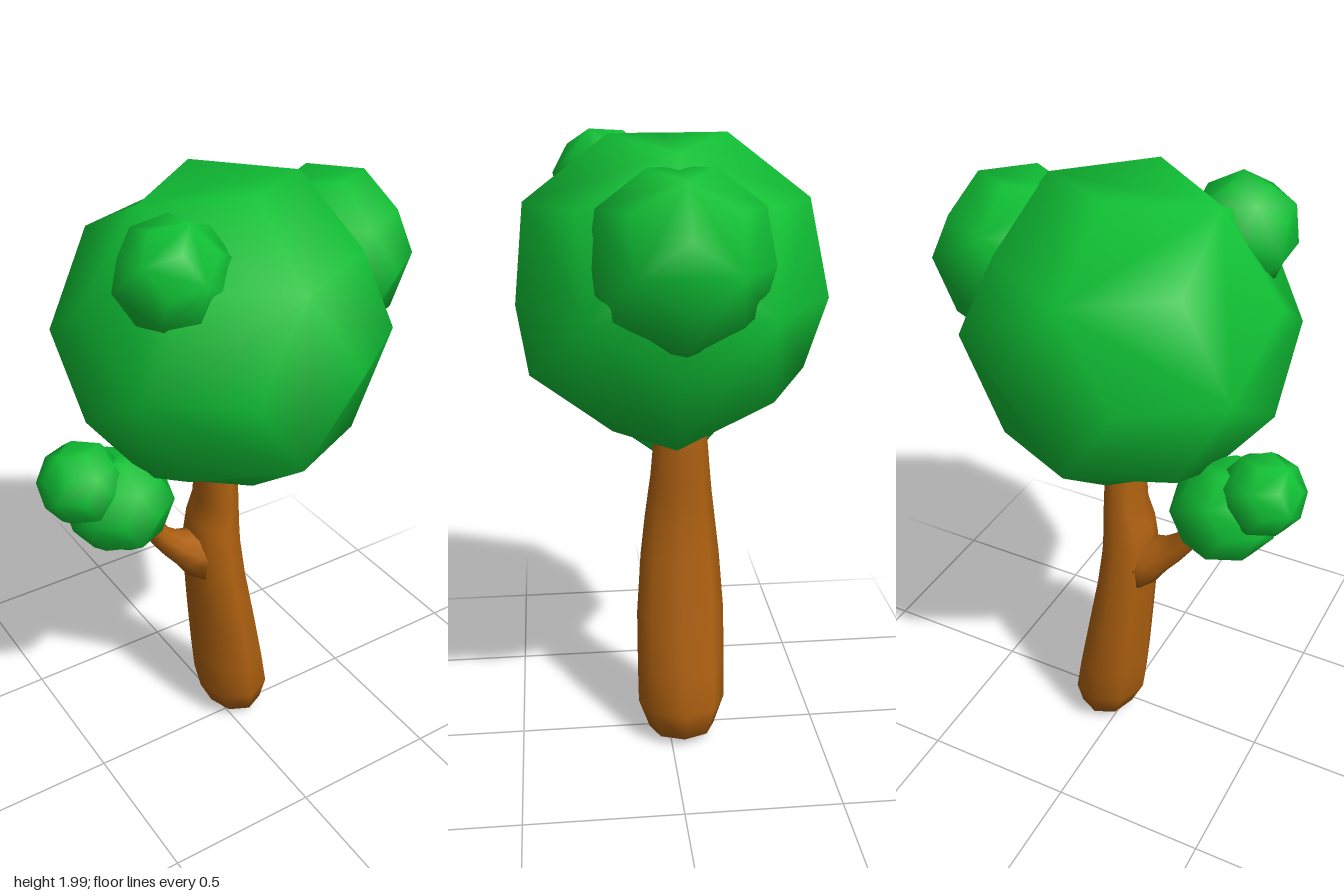
import * as THREE from 'three';
import { mergeVertices } from 'three/addons/utils/BufferGeometryUtils.js';

const leafMaterial = new THREE.MeshStandardMaterial({ color: 0x10c035 });
const barkMaterial = new THREE.MeshStandardMaterial({ color: 0xad6010 });

// Faceted ball: an icosahedron with every face raised to a point at its centre (60 triangles).
function leafBall(radius) {
  const source = new THREE.IcosahedronGeometry(radius * 1.03, 0).getAttribute('position');
  const points = [];
  for (let i = 0; i < source.count; i += 3) {
    const corners = [0, 1, 2].map((k) => new THREE.Vector3().fromBufferAttribute(source, i + k));
    const peak = corners[0].clone().add(corners[1]).add(corners[2]).setLength(radius);
    for (let k = 0; k < 3; k++) points.push(corners[k], corners[(k + 1) % 3], peak);
  }
  const geometry = mergeVertices(new THREE.BufferGeometry().setFromPoints(points), 1e-4);
  geometry.computeVertexNormals();
  return geometry;
}

// Skin over elliptical rings: [x, y, half width, half depth, lean angle].
function loft(rings, z, sides = 8) {
  const positions = [];
  const index = [];
  rings.forEach(([x, y, w, d, lean = 0], i) => {
    for (let j = 0; j < sides; j++) {
      const a = (j / sides) * Math.PI * 2;
      const across = Math.cos(a) * w;
      positions.push(x + across * Math.cos(lean), y + across * Math.sin(lean), z + Math.sin(a) * d);
      if (i === rings.length - 1) continue;
      const next = (j + 1) % sides;
      const p = i * sides + j;
      const q = i * sides + next;
      index.push(p, p + sides, q + sides, p, q + sides, q);
    }
  });
  const geometry = new THREE.BufferGeometry();
  geometry.setAttribute('position', new THREE.Float32BufferAttribute(positions, 3));
  geometry.setIndex(index);
  const welded = mergeVertices(geometry, 1e-4);
  welded.computeVertexNormals();
  return welded;
}

export function createModel() {
  const tree = new THREE.Group();
  tree.name = 'tree';

  const add = (name, geometry, material, position = [0, 0, 0], rotation = [0, 0, 0]) => {
    const mesh = new THREE.Mesh(geometry, material);
    mesh.name = name;
    mesh.position.set(...position);
    mesh.rotation.set(...rotation);
    tree.add(mesh);
  };

  // Trunk: rounded foot, leaning and tapering up into the crown
  add('trunk', loft([
    [0.06, 0.005, 0, 0],
    [0.057, 0.035, 0.093, 0.11],
    [0.043, 0.13, 0.123, 0.145],
    [0.027, 0.26, 0.117, 0.146],
    [0.003, 0.45, 0.103, 0.145],
    [-0.022, 0.65, 0.092, 0.13],
    [-0.03, 0.78, 0.085, 0.115],
    [-0.026, 0.86, 0.078, 0.105],
    [-0.014, 0.93, 0.064, 0.097],
    [-0.012, 1.09, 0.058, 0.083],
    [-0.012, 1.2, 0.05, 0.07],
    [-0.012, 1.22, 0, 0],
  ], -0.04), barkMaterial);

  // Side branch growing out of the trunk towards the small leaf cluster
  add('branch', loft([
    [-0.03, 0.69, 0, 0, 0.64],
    [-0.04, 0.7, 0.1, 0.1, 0.64],
    [-0.11, 0.755, 0.072, 0.075, 0.72],
    [-0.17, 0.795, 0.05, 0.052, 0.72],
    [-0.22, 0.845, 0.037, 0.042, 0.62],
    [-0.265, 0.92, 0.031, 0.034, 0.5],
    [-0.29, 0.97, 0.028, 0.03, 0.5],
    [-0.292, 0.975, 0, 0, 0.5],
  ], -0.045), barkMaterial);

  // Crown and the smaller leaf balls
  add('crown', leafBall(0.489), leafMaterial, [-0.015, 1.543, 0]);
  add('leftLeafBall', leafBall(0.264), leafMaterial, [0.34, 1.7, 0]);
  add('upperFrontLeafBall', leafBall(0.162), leafMaterial, [-0.272, 1.832, 0.17], [0.35, 0.3, 0.4]);
  add('branchLeafBall', leafBall(0.169), leafMaterial, [-0.36, 1.035, -0.05]);
  add('branchTipLeafBall', leafBall(0.131), leafMaterial, [-0.475, 1.132, -0.058]);

  return tree;
}
